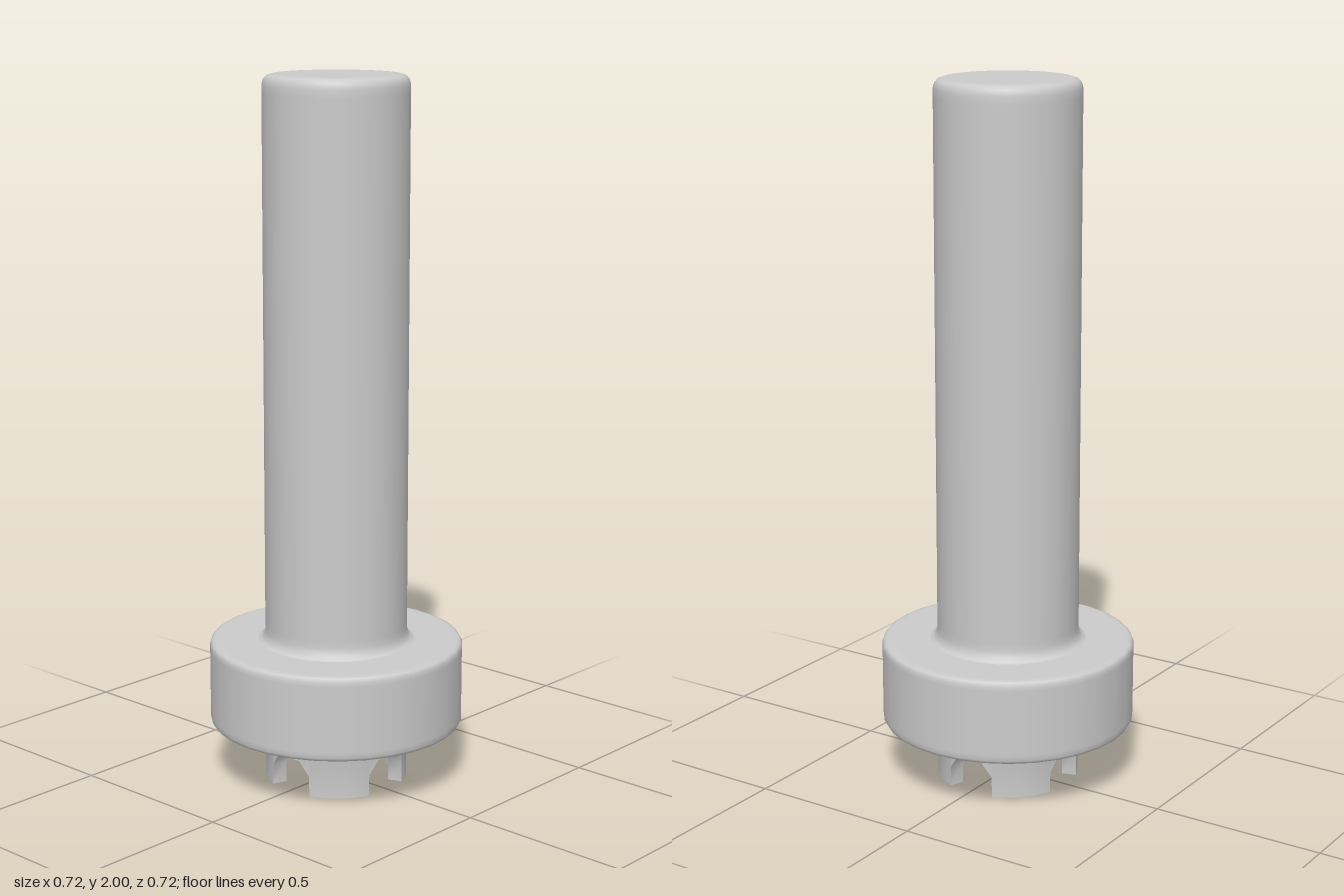
import * as THREE from 'three';
import { toCreasedNormals } from 'three/addons/utils/BufferGeometryUtils.js';

const SEGMENTS = 32;

function addMesh(group, name, geometry) {
  const mesh = new THREE.Mesh(geometry, new THREE.MeshStandardMaterial({ color: 0xcccccc }));
  mesh.name = name;
  group.add(mesh);
  return mesh;
}

// Turned part from [radius, height] pairs, listed bottom to top
function turned(profile) {
  return new THREE.LatheGeometry(profile.map(([r, y]) => new THREE.Vector2(r, y)), SEGMENTS);
}

// Ring wall whose lower edge is cut by four chamfered slots
function crownGeometry() {
  // [angle, lower edge height] over one quarter, starting at a slot's left side
  const quarter = [
    [-0.36, 0], [-0.35, 0.06], [-0.2, 0.1], [0, 0.1], [0.2, 0.1], [0.35, 0.06],
    [0.36, 0], [0.5, 0], [0.64, 0], [0.785, 0], [0.93, 0], [1.07, 0],
  ];
  const columns = [];
  for (let k = 0; k < 4; k++) {
    for (const [a, y] of quarter) columns.push([a + k * Math.PI / 2, y]);
  }
  const positions = [];
  const indices = [];
  const rows = 6;
  columns.forEach(([a, low], i) => {
    // Cross-section: flared outer wall, lower edge, inner wall
    const section = [[0.217, 0.17], [0.207, 0.162], [0.202, 0.148], [0.202, low], [0.16, low], [0.16, 0.172]];
    for (const [r, y] of section) positions.push(r * Math.sin(a), y, r * Math.cos(a));
    const p = i * rows;
    const q = ((i + 1) % columns.length) * rows;
    for (let j = 0; j < rows - 1; j++) {
      indices.push(p + j, p + j + 1, q + j + 1, p + j, q + j + 1, q + j);
    }
  });
  const geometry = new THREE.BufferGeometry();
  geometry.setAttribute('position', new THREE.Float32BufferAttribute(positions, 3));
  geometry.setIndex(indices);
  return toCreasedNormals(geometry, 0.7);
}

export function createModel() {
  const group = new THREE.Group();
  group.name = 'slottedPin';

  // Long shaft with a small fillet at the foot and a rounded top edge
  addMesh(group, 'shaft', turned([
    [0.225, 0.409], [0.214, 0.414], [0.206, 0.424], [0.202, 0.44], [0.202, 0.46],
    [0.202, 1.95], [0.202, 1.972], [0.198, 1.987], [0.19, 1.996], [0.177, 2], [0.16, 2], [0, 2],
  ]));

  // Wide collar with softened rims
  addMesh(group, 'collar', turned([
    [0, 0.168], [0.33, 0.168], [0.346, 0.168], [0.355, 0.171], [0.36, 0.18], [0.36, 0.195],
    [0.36, 0.385], [0.36, 0.398], [0.355, 0.407], [0.346, 0.41], [0.33, 0.41], [0.19, 0.41],
  ]));

  // Four-toothed crown below the collar
  addMesh(group, 'crown', crownGeometry());

  // Rounded tip inside the crown
  const tip = addMesh(group, 'innerTip', new THREE.SphereGeometry(0.12, SEGMENTS, 16));
  tip.position.y = 0.145;

  return group;
}
